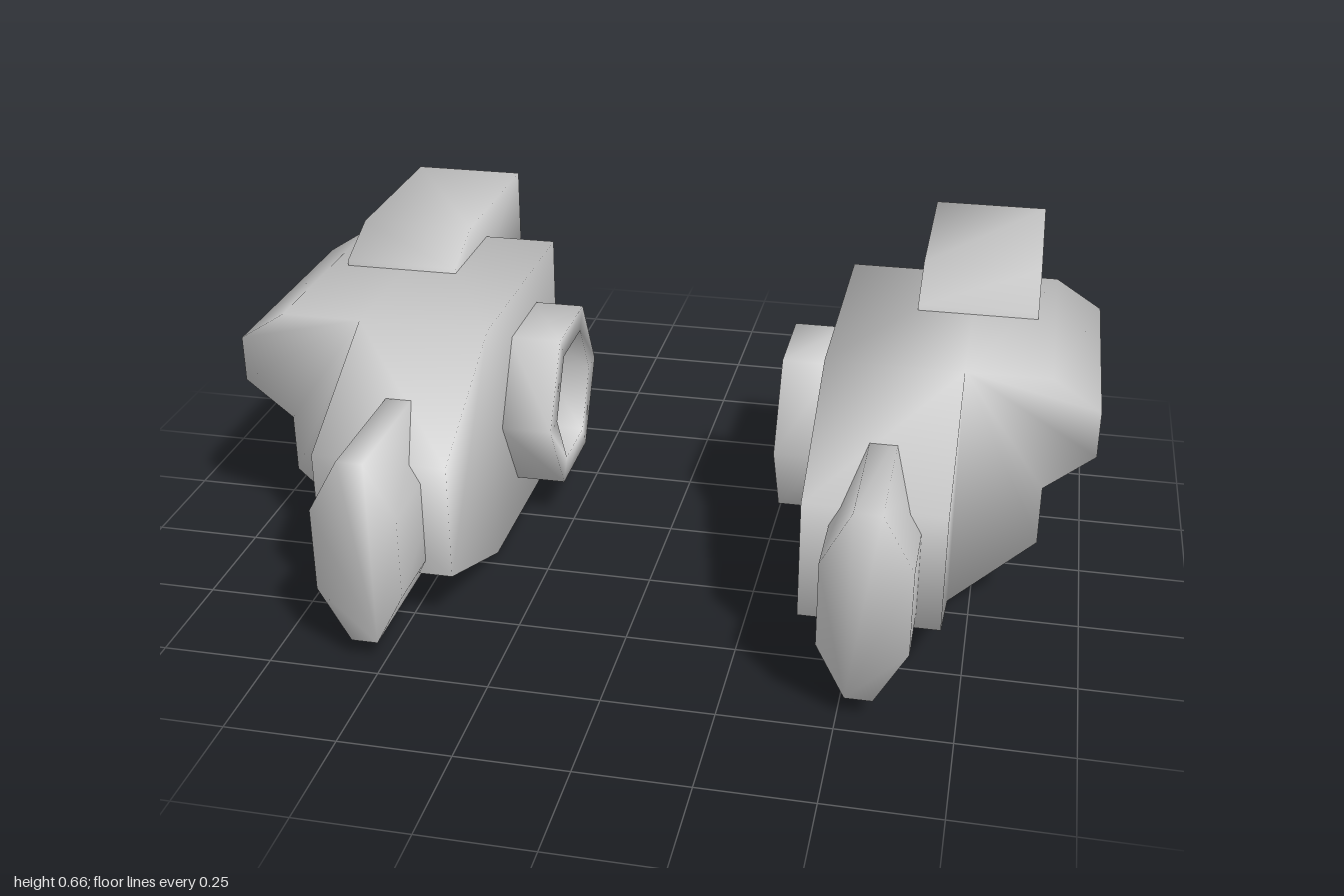
import * as THREE from 'three';
import { mergeVertices } from 'three/addons/utils/BufferGeometryUtils.js';

// Weld corners so the normals blend over the whole part
function smooth(geometry) {
  geometry.deleteAttribute('normal');
  geometry.deleteAttribute('uv');
  const welded = mergeVertices(geometry, 1e-4);
  welded.computeVertexNormals();
  return welded;
}

// Closed solid from polygons, each a loop of [x, y, z] fanned from its first corner
function solid(polygons) {
  const pos = [];
  for (const p of polygons) {
    for (let i = 1; i < p.length - 1; i++) pos.push(...p[0], ...p[i], ...p[i + 1]);
  }
  const g = new THREE.BufferGeometry();
  g.setAttribute('position', new THREE.Float32BufferAttribute(pos, 3));
  return smooth(g);
}

const ringAt = (section, z) => section.map(([x, y]) => [x, y, z]);

// Side walls between two matching loops, a behind b
const walls = (a, b) => a.map((p, i) => {
  const j = (i + 1) % a.length;
  return [p, a[j], b[j], b[i]];
});

// Capped skin over loops listed from back to front
function loft(rings) {
  const polygons = [[...rings[0]].reverse(), rings[rings.length - 1]];
  for (let i = 0; i < rings.length - 1; i++) polygons.push(...walls(rings[i], rings[i + 1]));
  return solid(polygons);
}

// Main block with an outer flange and a tapered nose
function bodyGeometry() {
  const section = [
    [0.39, 0], [0.70, 0], [0.89, 0.18], [0.89, 0.32], [1.0, 0.41],
    [1.0, 0.52], [0.89, 0.59], [0.70, 0.59], [0.39, 0.59],
  ];
  const back = ringAt(section, -0.39);
  const front = ringAt(section, 0.2);
  const nose = ringAt([[0.39, 0.135], [0.70, 0.135], [0.70, 0.41], [0.39, 0.41]], 0.54);
  const noseRoot = [0, 1, 7, 8].map((i) => front[i]);
  const shoulder = [7, 1, 2, 3, 4, 5, 6].map((i) => front[i]);
  return solid([
    [back[0], ...back.slice(1).reverse()],
    ...walls(back, front),
    shoulder,
    ...walls(noseRoot, nose),
    nose,
  ]);
}

// Upright eight-sided toe
function toeGeometry() {
  const section = [
    [0.515, 0.045], [0.575, 0.045], [0.645, 0.17], [0.645, 0.365],
    [0.575, 0.49], [0.515, 0.49], [0.45, 0.365], [0.45, 0.17],
  ];
  return loft([ringAt(section, 0.3), ringAt(section, 0.7)]);
}

// Heel block with bevelled lower edges and a sloped front
function heelGeometry() {
  const section = (top) => [
    [0.66, 0.375], [0.76, 0.375], [0.85, 0.47], [0.85, top], [0.57, top], [0.57, 0.47],
  ];
  return loft([
    ringAt(section(0.66), -0.7),
    ringAt(section(0.66), -0.26),
    ringAt(section(0.603), -0.125),
  ]);
}

// Narrow wedge under the heel
function spurGeometry() {
  const section = (bottom) => [[0.66, bottom], [0.76, bottom], [0.775, 0.39], [0.645, 0.39]];
  return loft([
    ringAt(section(0.32), -0.655),
    ringAt(section(0.18), -0.475),
    ringAt(section(0.18), -0.37),
  ]);
}

// Hollow six-sided socket on the inner face
function socketGeometry() {
  const hexagon = (r) => Array.from({ length: 6 }, (_, i) =>
    new THREE.Vector2(r * Math.cos(i * Math.PI / 3), r * Math.sin(i * Math.PI / 3)));
  const shape = new THREE.Shape(hexagon(0.222));
  shape.holes.push(new THREE.Path(hexagon(0.16)));
  const g = new THREE.ExtrudeGeometry(shape, { depth: 0.125, bevelEnabled: false });
  g.rotateY(Math.PI / 2);
  g.translate(0.27, 0.3, -0.103);
  return smooth(g);
}

// Reflect across x = 0 and turn the faces back outward
function mirrored(geometry) {
  const g = geometry.clone();
  g.scale(-1, 1, 1);
  const index = g.index.array;
  for (let i = 0; i < index.length; i += 3) {
    [index[i + 1], index[i + 2]] = [index[i + 2], index[i + 1]];
  }
  g.computeVertexNormals();
  return g;
}

export function createModel() {
  const model = new THREE.Group();
  model.name = 'pairOfFeet';
  const material = new THREE.MeshStandardMaterial({ color: 0xcccccc });
  const parts = {
    body: bodyGeometry(),
    toe: toeGeometry(),
    heel: heelGeometry(),
    heelSpur: spurGeometry(),
    ankleSocket: socketGeometry(),
  };
  for (const side of ['left', 'right']) {
    const foot = new THREE.Group();
    foot.name = side + 'Foot';
    for (const [name, geometry] of Object.entries(parts)) {
      const mesh = new THREE.Mesh(side === 'left' ? geometry : mirrored(geometry), material);
      mesh.name = name;
      foot.add(mesh);
    }
    model.add(foot);
  }
  return model;
}
